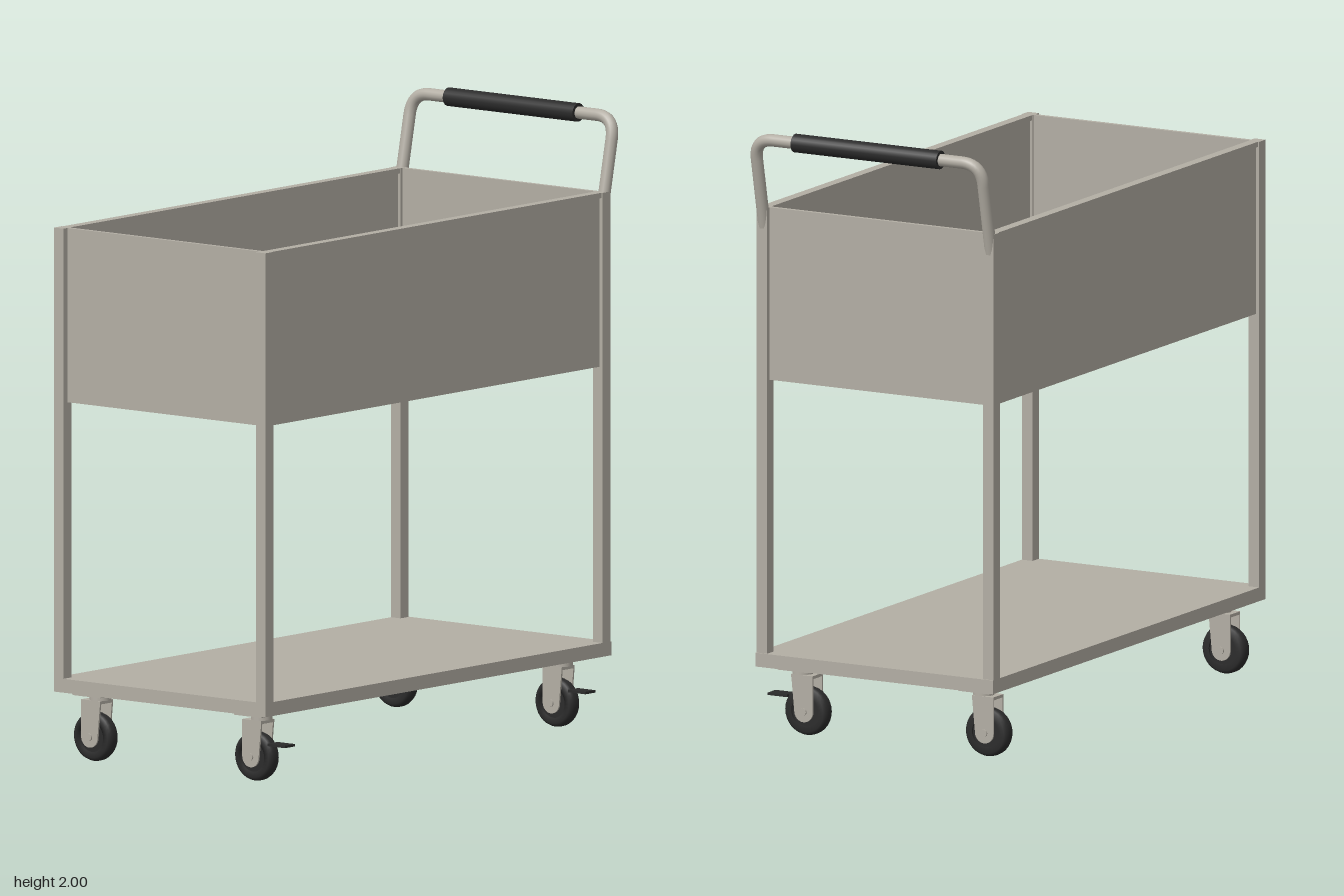
import * as THREE from 'three';

const mat = (name, color, extra = {}) => {
  const m = new THREE.MeshStandardMaterial({ color, ...extra });
  m.name = name;
  return m;
};

export function createModel() {
  const root = new THREE.Group();
  root.name = 'trolley';
  const steel = mat('warmGreySteel', 0xb3aea4);
  const rubber = mat('blackRubber', 0x2b2b2b);

  const add = (parent, name, geometry, material, x = 0, y = 0, z = 0) => {
    const mesh = new THREE.Mesh(geometry, material);
    mesh.name = name;
    mesh.position.set(x, y, z);
    parent.add(mesh);
    return mesh;
  };
  // Box given by its limits on each axis
  const box = (parent, name, [x0, x1], [y0, y1], [z0, z1], material = steel) =>
    add(parent, name, new THREE.BoxGeometry(x1 - x0, y1 - y0, z1 - z0), material,
      (x0 + x1) / 2, (y0 + y1) / 2, (z0 + z1) / 2);

  // Lower deck and corner posts
  box(root, 'lowerDeck', [-0.91, 0.835], [0.23, 0.275], [-0.44, 0.44]);
  for (const x of [-0.91, 0.79])
    for (const z of [-0.44, 0.4])
      box(root, 'cornerPost', [x, x + 0.04], [0.275, 1.735], [z, z + 0.04]);

  // Open bin: floor, walls and folded top rims
  const bin = new THREE.Group();
  bin.name = 'bin';
  root.add(bin);
  box(bin, 'binFloor', [-0.88, 0.81], [1.175, 1.19], [-0.42, 0.42]);
  for (const s of [-1, 1]) {
    const span = (a, b) => (s > 0 ? [a, b] : [-b, -a]);
    box(bin, 'longWall', [-0.87, 0.79], [1.17, 1.72], span(0.41, 0.428));
    box(bin, 'longRim', [-0.87, 0.79], [1.718, 1.735], span(0.402, 0.436));
  }
  for (const x of [-0.89, 0.8])
    box(bin, 'endWall', [x, x + 0.015], [1.17, 1.735], [-0.4, 0.4]);

  // Push handle: rounded hoop leaning outwards
  const lean = (y, z) => new THREE.Vector3(0.812 + (y - 1.67) * 0.21, y, z);
  const hoop = new THREE.CurvePath();
  const top = 1.97, side = 0.42, bend = 0.07;
  hoop.add(new THREE.LineCurve3(lean(1.67, side), lean(top - bend, side)));
  hoop.add(new THREE.QuadraticBezierCurve3(lean(top - bend, side), lean(top, side), lean(top, side - bend)));
  hoop.add(new THREE.LineCurve3(lean(top, side - bend), lean(top, bend - side)));
  hoop.add(new THREE.QuadraticBezierCurve3(lean(top, bend - side), lean(top, -side), lean(top - bend, -side)));
  hoop.add(new THREE.LineCurve3(lean(top - bend, -side), lean(1.67, -side)));
  add(root, 'pushHandle', new THREE.TubeGeometry(hoop, 120, 0.02, 16), steel);
  for (const z of [-side, side]) {
    const cap = add(root, 'handleEnd', new THREE.CircleGeometry(0.02, 16), steel, 0.812, 1.67, z);
    cap.rotation.x = Math.PI / 2;
  }
  const grip = add(root, 'handleGrip', new THREE.CylinderGeometry(0.03, 0.03, 0.54, 24), rubber, 0.875, top, 0);
  grip.rotation.x = Math.PI / 2;

  // Caster parts; the wheel axis lies along x
  const tyreProfile = [[0.05, -0.024], [0.068, -0.024], [0.076, -0.018], [0.08, -0.008],
    [0.08, 0.008], [0.076, 0.018], [0.068, 0.024], [0.05, 0.024], [0.05, -0.024]]
    .map(([r, h]) => new THREE.Vector2(r, h));
  const tyreGeo = new THREE.LatheGeometry(tyreProfile, 32).rotateZ(Math.PI / 2);
  const hubGeo = new THREE.CylinderGeometry(0.05, 0.05, 0.036, 24).rotateZ(Math.PI / 2);
  const axleGeo = new THREE.CylinderGeometry(0.012, 0.012, 0.076, 12).rotateZ(Math.PI / 2);
  const headGeo = new THREE.CylinderGeometry(0.035, 0.035, 0.02, 20);

  // Fork cheek: tapered plate with a rounded foot, drawn around the axle
  const cheek = new THREE.Shape();
  cheek.moveTo(-0.045, 0.115);
  cheek.lineTo(-0.034, 0);
  cheek.absarc(0, 0, 0.034, Math.PI, 2 * Math.PI, false);
  cheek.lineTo(0.034, 0.115);
  cheek.closePath();
  const cheekGeo = new THREE.ExtrudeGeometry(cheek, { depth: 0.006, bevelEnabled: false, curveSegments: 12 })
    .translate(0, 0, -0.003).rotateY(Math.PI / 2);

  const caster = (x, z, brake) => {
    const g = new THREE.Group();
    g.name = brake ? 'brakedCaster' : 'caster';
    g.position.set(x, 0.08, z);
    root.add(g);
    add(g, 'tyre', tyreGeo, rubber);
    add(g, 'hub', hubGeo, rubber);
    add(g, 'axle', axleGeo, steel);
    for (const s of [-1, 1]) add(g, 'forkCheek', cheekGeo, steel, s * 0.03, 0, 0);
    box(g, 'forkCrown', [-0.033, 0.033], [0.11, 0.12], [-0.034, 0.045]);
    add(g, 'swivelHead', headGeo, steel, 0, 0.13, 0.02);
    box(g, 'mountingPlate', [-0.068, 0.068], [0.137, 0.15], [-0.04, 0.075]);
    if (brake) {
      box(g, 'brakePedal', [-0.025, 0.025], [0.04, 0.048], [0.065, 0.137], rubber);
      box(g, 'brakeArm', [-0.012, 0.012], [0.04, 0.048], [0.03, 0.07], rubber);
    }
  };
  for (const x of [-0.795, 0.72]) {
    caster(x, 0.31, true);
    caster(x, -0.36, false);
  }
  return root;
}
